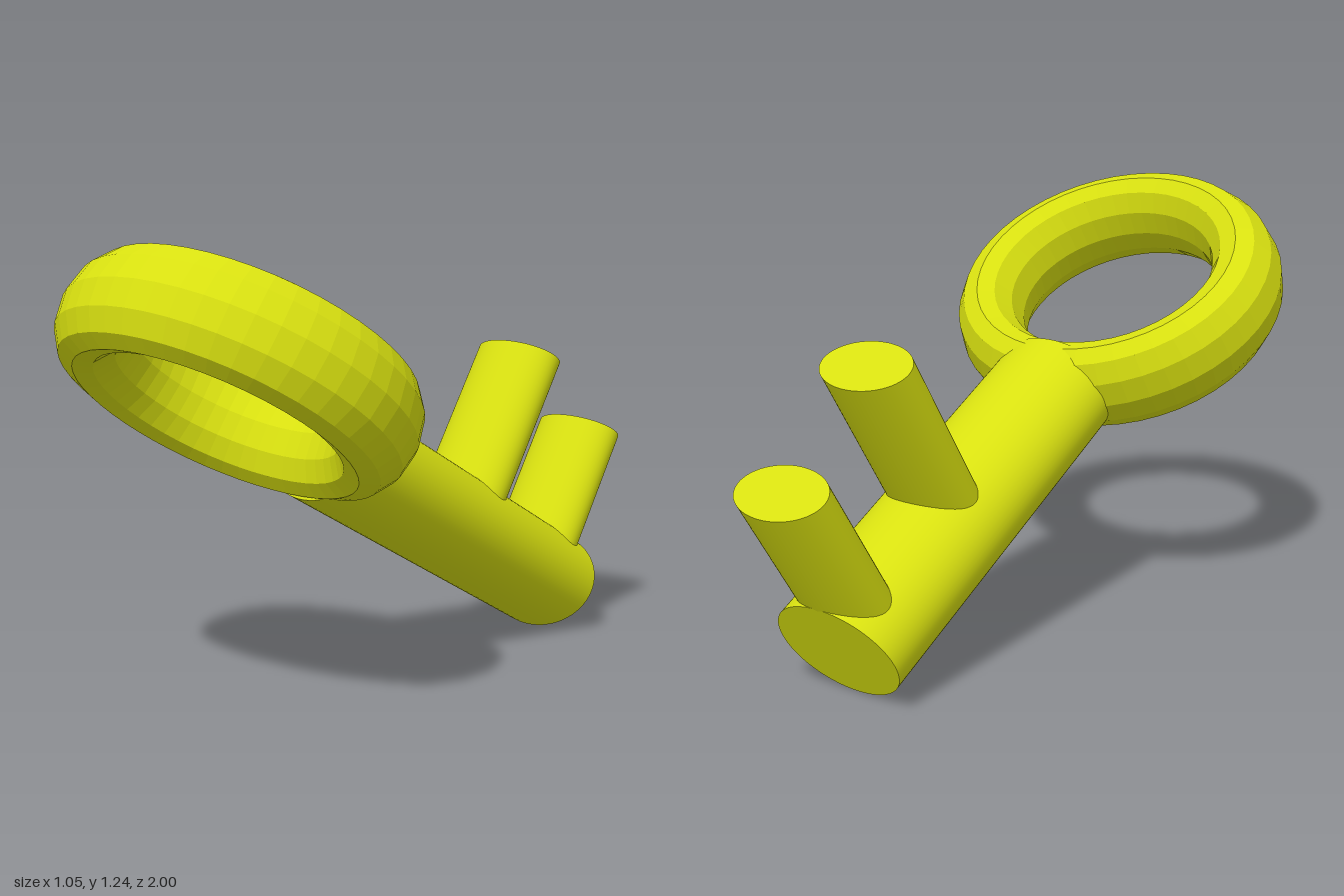
import * as THREE from 'three';

const yellow = new THREE.MeshStandardMaterial({ color: 0xd8e010 });
yellow.name = 'yellow';

// Oval rod between two points given as [y, z] in the x = 0 plane
function rod(name, from, to, radiusX, radiusDepth) {
  const dy = to[0] - from[0], dz = to[1] - from[1];
  const geometry = new THREE.CylinderGeometry(1, 1, Math.hypot(dy, dz), 64);
  geometry.scale(radiusX, 1, radiusDepth);
  const mesh = new THREE.Mesh(geometry, yellow);
  mesh.name = name;
  mesh.position.set(0, (from[0] + to[0]) / 2, (from[1] + to[1]) / 2);
  mesh.rotation.x = Math.atan2(dz, dy);
  return mesh;
}

export function createModel() {
  const model = new THREE.Group();
  model.name = 'key';

  // Tilted faceted ring handle, deeper than its band is wide
  const tube = 0.105;
  const smooth = new THREE.TorusGeometry(0.42, tube, 12, 48);
  smooth.rotateX(-Math.PI / 2);
  smooth.scale(1, 0.148 / tube, 0.91);
  const faceted = smooth.toNonIndexed();
  faceted.computeVertexNormals();
  const ring = new THREE.Mesh(faceted, yellow);
  ring.name = 'ringHandle';
  ring.position.set(0, 0.888, 0.577);
  ring.rotation.x = -0.611;
  model.add(ring);

  // Sloping shaft
  model.add(rod('shaft', [0.14, -0.733], [0.675, 0.273], 0.2, 0.155));

  // Two teeth leaning back from the shaft: top centre and length
  const lean = [0.837, -0.547];
  [['innerTooth', 0.875, -0.6, 0.5], ['endTooth', 0.615, -0.92, 0.45]].forEach(([name, y, z, length]) => {
    const base = [y - lean[0] * length, z - lean[1] * length];
    model.add(rod(name, base, [y, z], 0.147, 0.09));
  });

  return model;
}
